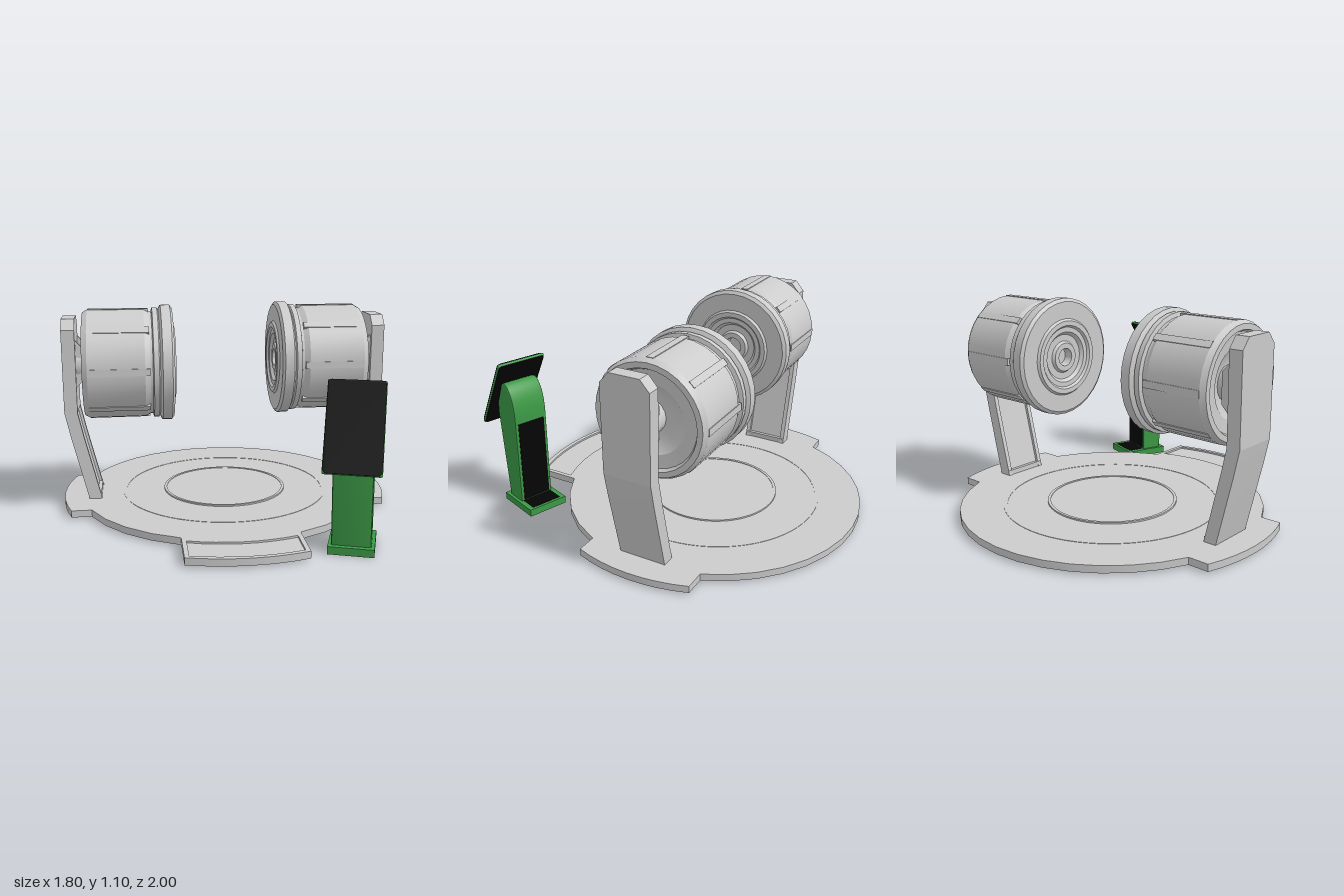
import * as THREE from 'three';
import { toCreasedNormals } from 'three/addons/utils/BufferGeometryUtils.js';
import { RoundedBoxGeometry } from 'three/addons/geometries/RoundedBoxGeometry.js';

const grey = new THREE.MeshStandardMaterial({ color: 0xcccccc });
const green = new THREE.MeshStandardMaterial({ color: 0x3c9a46 });
const black = new THREE.MeshStandardMaterial({ color: 0x050505 });
const V = (x, y) => new THREE.Vector2(x, y);

function add(parent, name, geometry, material, x = 0, y = 0, z = 0) {
  const mesh = new THREE.Mesh(geometry, material);
  mesh.name = name;
  mesh.position.set(x, y, z);
  parent.add(mesh);
  return mesh;
}

const creased = (g) => toCreasedNormals(g, 0.5);
const extrude = (shape, depth) =>
  creased(new THREE.ExtrudeGeometry(shape, { depth, bevelEnabled: false, curveSegments: 12 }));
const polygon = (pts) => new THREE.Shape(pts.map(([x, y]) => V(x, y)));

// Points along an arc about the origin
function arc(r, from, to, steps) {
  return Array.from({ length: steps + 1 }, (_, i) => {
    const a = from + ((to - from) * i) / steps;
    return V(r * Math.cos(a), r * Math.sin(a));
  });
}

// Closed outline with an opening, both given as points
function frame(outer, ...holes) {
  const shape = new THREE.Shape(outer);
  shape.holes = holes.map((pts) => new THREE.Path(pts));
  return shape;
}

// Corners of a rectangle
const rect = (x1, x2, y1, y2) => [V(x1, y1), V(x2, y1), V(x2, y2), V(x1, y2)];

// Lay an extruded plan flat, with its top face at the given height
function slab(shape, top, depth) {
  return extrude(shape, depth).rotateX(Math.PI / 2).translate(0, top, 0);
}

function buildPlatform() {
  const platform = new THREE.Group();
  platform.name = 'platform';
  const R = 0.8;
  const lobes = [
    { c: 0, h: 0.305, r: 0.9 },
    { c: Math.PI / 2, h: 0.295, r: 1.022 },
    { c: Math.PI, h: 0.305, r: 0.9 },
  ];
  // Round outline with three straight-sided lobes
  const outline = [];
  lobes.forEach(({ c, h, r }, i) => {
    const outer = Math.asin(h / r), inner = Math.asin(h / R);
    outline.push(...arc(r, c - outer, c + outer, 8));
    const next = lobes[(i + 1) % 3];
    const end = next.c + (i === 2 ? 2 * Math.PI : 0) - Math.asin(next.h / R);
    outline.push(...arc(R, c + inner, end, i === 2 ? 14 : 4));
  });
  // Sunken tray in the front lobe
  const tray = (r1, r2, h) => {
    const a = Math.asin(h / r1), b = Math.asin(h / r2), m = Math.PI / 2;
    return [...arc(r1, m - a, m + a, 8), ...arc(r2, m + b, m - b, 8)];
  };
  const trayInner = tray(0.998, 0.83, 0.272), trayOuter = tray(1.003, 0.825, 0.277);
  // Thin deck with a hanging rim, open below, slotted under each stand
  const slots = [rect(0.705, 0.75, -0.098, 0.098), rect(-0.75, -0.705, -0.098, 0.098)];
  add(platform, 'deck', slab(frame(outline, trayInner, ...slots), 0.047, 0.005), grey);
  const rimInside = outline.map((p) => p.clone().multiplyScalar(0.993));
  add(platform, 'rim', slab(frame(outline, rimInside), 0.046, 0.036), grey);
  add(platform, 'trayWall', slab(frame(trayOuter, trayInner), 0.046, 0.012), grey);
  add(platform, 'trayFloor', slab(new THREE.Shape(trayOuter), 0.037, 0.004), grey);

  // Concentric rings and a slightly raised centre
  const ring = (r1, r2) => {
    const circle = (r) => arc(r, 0, 2 * Math.PI, 72).slice(0, -1);
    return frame(circle(r2), circle(r1));
  };
  add(platform, 'outerRing', slab(ring(0.555, 0.575), 0.049, 0.01), grey);
  add(platform, 'innerRing', slab(ring(0.328, 0.343), 0.055, 0.015), grey);
  add(platform, 'centreDisc', creased(new THREE.CylinderGeometry(0.335, 0.335, 0.011, 48)), grey, 0, 0.0465, 0);
  return platform;
}

function buildStand() {
  const stand = new THREE.Group();
  stand.name = 'stand';
  const w = 0.25;
  // Upright with clipped top corners
  const upright = polygon([
    [-0.125, 0.53], [0.125, 0.53], [0.128, 0.98], [0.08, 1.035], [-0.08, 1.035], [-0.128, 0.98],
  ]);
  add(stand, 'upright', extrude(upright, 0.07).rotateY(Math.PI / 2), grey, 0.804, 0, 0);
  // Leaning leg: inner and outer skins between two rails, hollow and open at the foot
  const leg = (inner, outer, width) => extrude(polygon([
    [0.69 + inner, 0.045], [0.69 + outer, 0.045], [0.776 + outer, 0.4],
    [0.804 + outer, 0.53], [0.804 + inner, 0.53], [0.776 + inner, 0.4],
  ]), width);
  add(stand, 'legOuterSkin', leg(0.063, 0.069, w), grey, 0, 0, -w / 2);
  add(stand, 'legInnerSkin', leg(0.016, 0.02, w), grey, 0, 0, -w / 2);
  for (const z of [-w / 2, w / 2 - 0.024]) add(stand, 'legRail', leg(0, 0.069, 0.024), grey, 0, 0, z);
  add(stand, 'legSill', new THREE.BoxGeometry(0.02, 0.03, w), grey, 0.704, 0.06, 0);
  return stand;
}

function buildDrum() {
  const drum = new THREE.Group();
  drum.name = 'drum';
  // Axial position and radius, from the hollow hub across the face to the dished back
  const profile = [
    [0.335, 0], [0.335, 0.042], [0.29, 0.047], [0.29, 0.075], [0.305, 0.085], [0.305, 0.12],
    [0.288, 0.135], [0.288, 0.16], [0.276, 0.17], [0.276, 0.195], [0.288, 0.205], [0.288, 0.295],
    [0.3, 0.312], [0.35, 0.312], [0.358, 0.298], [0.362, 0.288], [0.368, 0.297], [0.395, 0.297],
    [0.4, 0.276], [0.412, 0.276], [0.44, 0.292], [0.735, 0.293], [0.762, 0.278], [0.762, 0.25],
    [0.742, 0.24], [0.735, 0.175], [0.715, 0.15], [0.7, 0.1], [0.7, 0],
  ];
  const body = new THREE.LatheGeometry(profile.map(([x, r]) => V(r, x)), 32);
  body.rotateZ(-Math.PI / 2);
  add(drum, 'drumBody', creased(body), grey);
  // Narrow strips around the shell, almost flush
  for (let i = 0; i < 8; i++) {
    const strip = new THREE.BoxGeometry(0.32, 0.036, 0.02).translate(0.575, 0, 0.2845);
    add(drum, 'drumStrip', strip, grey).rotation.x = (i * Math.PI) / 4;
  }
  drum.position.set(0, 0.787, -0.045);
  return drum;
}

function buildSide() {
  const side = new THREE.Group();
  side.name = 'drumStation';
  side.add(buildStand(), buildDrum());
  // Pivot joining drum and stand, with tapered cheeks
  const pivot = new THREE.CylinderGeometry(0.085, 0.1, 0.12, 16).rotateZ(Math.PI / 2);
  add(side, 'pivot', creased(pivot), grey, 0.755, 0.787, -0.02);
  const cheek = polygon([[0.81, 0.66], [0.81, 0.93], [0.755, 0.87], [0.755, 0.72]]);
  for (const z of [-0.105, 0.085]) add(side, 'pivotCheek', extrude(cheek, 0.02), grey, 0, 0, z);
  return side;
}

function buildKiosk() {
  const kiosk = new THREE.Group();
  kiosk.name = 'kiosk';
  // Shallow base, hollow underneath
  const base = rect(-0.111, 0.111, -0.128, 0.126);
  add(kiosk, 'baseRim', slab(frame(base, rect(-0.099, 0.099, -0.116, 0.114)), 0.038, 0.038), green);
  add(kiosk, 'baseTop', slab(new THREE.Shape(base), 0.039, 0.006), green);
  add(kiosk, 'basePanel', new THREE.BoxGeometry(0.17, 0.003, 0.095), black, 0, 0.039, -0.065);

  // Post side profile: local z forward, y up, curving over at the back of the head
  const side = new THREE.Shape();
  side.moveTo(-0.01, 0.036);
  side.lineTo(0.093, 0.036);
  side.lineTo(0.142, 0.52);
  side.lineTo(0.138, 0.58);
  side.lineTo(0.09, 0.685);
  side.quadraticCurveTo(0.075, 0.708, 0.05, 0.695);
  side.bezierCurveTo(0.01, 0.67, -0.012, 0.6, -0.012, 0.52);
  const post = new THREE.ExtrudeGeometry(side, {
    depth: 0.17, bevelThickness: 0.01, bevelSize: 0.006, bevelSegments: 2, curveSegments: 10,
  });
  post.rotateY(-Math.PI / 2).translate(0.085, 0, 0);
  add(kiosk, 'post', creased(post), green);
  add(kiosk, 'postBackPanel', new THREE.BoxGeometry(0.155, 0.45, 0.006), black, 0, 0.27, -0.017);

  // Tilted display
  const display = new THREE.Group();
  display.name = 'display';
  display.position.set(0, 0.632, 0.138);
  display.rotation.x = -0.515;
  add(display, 'displayFrame', new RoundedBoxGeometry(0.272, 0.45, 0.018, 3, 0.009), green);
  const r = 0.018, hw = 0.133 - r, hh = 0.222 - r, h = Math.PI / 2;
  const face = new THREE.Shape();
  [[hw, hh], [-hw, hh], [-hw, -hh], [hw, -hh]].forEach(([x, y], i) => face.absarc(x, y, r, i * h, (i + 1) * h));
  add(display, 'screen', extrude(face, 0.004), black, 0, 0, 0.008);
  add(display, 'displayBack', extrude(face, 0.003), black, 0, 0, -0.011);
  kiosk.add(display);

  kiosk.position.set(0.384, 0, 0.712);
  kiosk.rotation.y = -0.5;
  return kiosk;
}

export function createModel() {
  const model = new THREE.Group();
  model.name = 'drumPlatform';
  const station = new THREE.Group();
  station.name = 'station';
  station.position.z = -0.2;
  station.rotation.y = -0.167;
  station.add(buildPlatform());
  for (const turn of [0, Math.PI]) {
    const side = buildSide();
    side.rotation.y = turn;
    station.add(side);
  }
  model.add(station, buildKiosk());
  return model;
}
